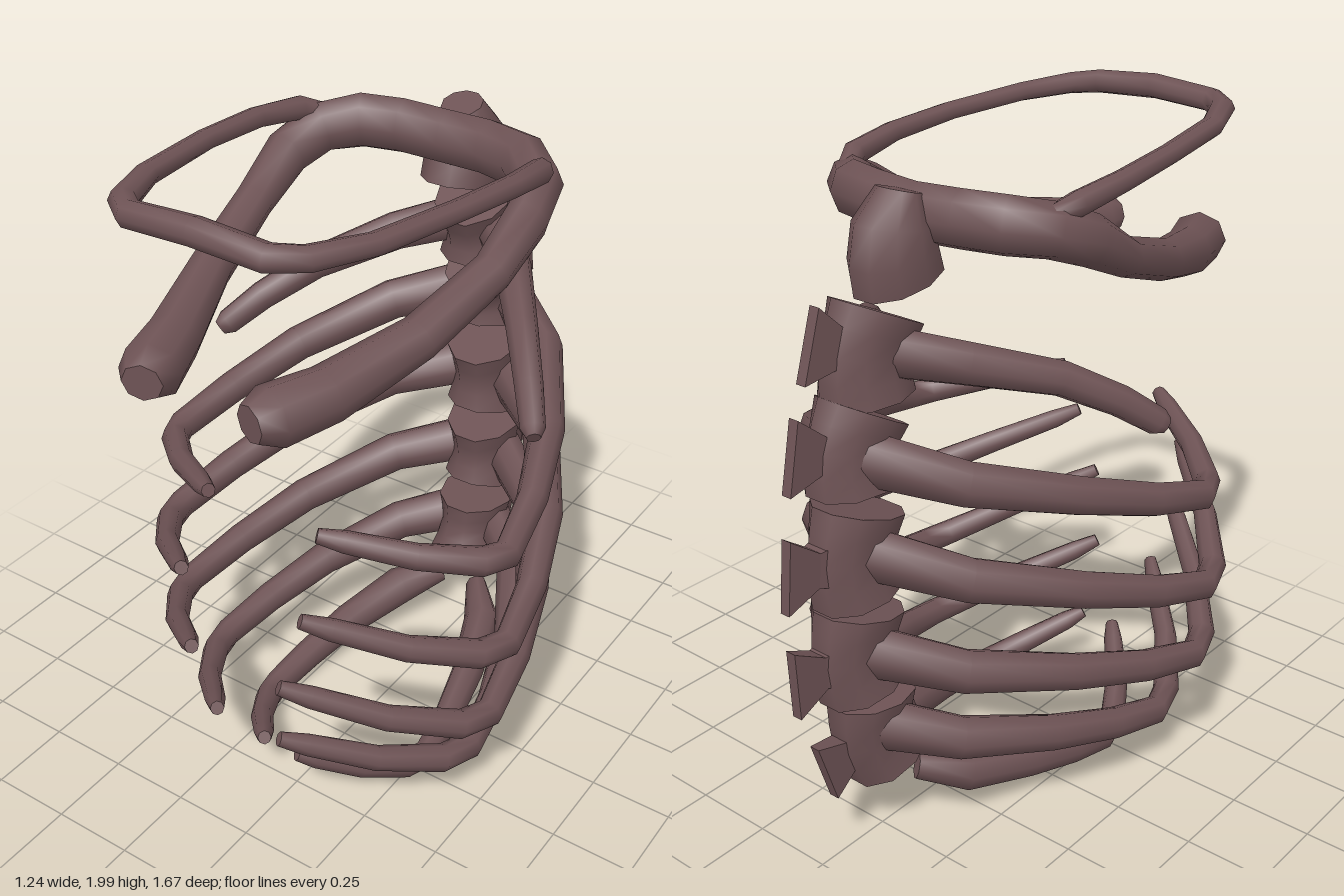
import * as THREE from 'three';

const material = new THREE.MeshStandardMaterial({ color: 0x6e5355 });

// Capped loft: each section is [x, y, z, half width, half height], square to the path.
function loft(sections, { sides = 8, ref = new THREE.Vector3(0, 1, 0), phase = 0, flat = false } = {}) {
  const pts = sections.map((s) => new THREE.Vector3(s[0], s[1], s[2]));
  const pos = [], idx = [];
  const rings = sections.map((s, i) => {
    const t = pts[Math.min(i + 1, pts.length - 1)].clone().sub(pts[Math.max(i - 1, 0)]).normalize();
    const side = t.clone().cross(ref).normalize();
    const up = side.clone().cross(t);
    return Array.from({ length: sides }, (_, j) => {
      const a = phase + (j / sides) * Math.PI * 2;
      return pts[i].clone().addScaledVector(side, Math.cos(a) * s[3]).addScaledVector(up, Math.sin(a) * s[4]);
    });
  });
  rings.forEach((r) => r.forEach((p) => pos.push(p.x, p.y, p.z)));
  for (let i = 0; i < rings.length - 1; i++) {
    for (let j = 0; j < sides; j++) {
      const k = (j + 1) % sides;
      const a = i * sides + j, b = a + sides, c = i * sides + k, d = c + sides;
      idx.push(a, b, c, c, b, d);
    }
  }
  // Caps have their own vertices so the rims stay sharp
  [0, rings.length - 1].forEach((e, n) => {
    const base = pos.length / 3;
    [pts[e], ...rings[e]].forEach((p) => pos.push(p.x, p.y, p.z));
    for (let j = 0; j < sides; j++) {
      const a = base + 1 + j, b = base + 1 + ((j + 1) % sides);
      idx.push(base, ...(n ? [b, a] : [a, b]));
    }
  });
  let geo = new THREE.BufferGeometry();
  geo.setAttribute('position', new THREE.Float32BufferAttribute(pos, 3));
  geo.setIndex(idx);
  if (flat) geo = geo.toNonIndexed();
  geo.computeVertexNormals();
  return geo;
}

const mirror = (sections) => sections.map(([x, ...rest]) => [-x, ...rest]);
const { lerp } = THREE.MathUtils;

// Rib curve: shares of the way in x, y, z, then half width and half height
const ribBack = [
  [0.43, 0.24, 0.18, 0.058, 0.066], [0.76, 0.55, 0.5, 0.05, 0.056],
  [0.925, 0.82, 0.77, 0.044, 0.05], [1, 1, 1, 0.04, 0.045],
];
const ribFront = [
  [0.09, 0.06, 0.22, 0.04, 0.043], [0.43, 0.4, 0.58, 0.035, 0.038],
  [0.84, 0.82, 0.88, 0.03, 0.032], [1, 1, 1, 0.02, 0.021],
];

// A rib sweeps from its root out to the bend, then in and up to the tip
function ribSections({ root, bend, tip, thick }) {
  const between = (a, b) => ([fx, fy, fz, w, h]) =>
    [lerp(a[0], b[0], fx), lerp(a[1], b[1], fy), lerp(a[2], b[2], fz), w, h];
  return [[...root, thick * 0.8, thick], ...ribBack.map(between(root, bend)), ...ribFront.map(between(bend, tip))];
}

export function createModel() {
  const model = new THREE.Group();
  model.name = 'ribCage';
  const add = (name, sections, options) => {
    const mesh = new THREE.Mesh(loft(sections, options), material);
    mesh.name = name;
    model.add(mesh);
  };
  const addPair = (name, sections) => {
    add(`${name}Left`, sections);
    add(`${name}Right`, mirror(sections));
  };
  const forward = new THREE.Vector3(0, 0, 1);

  // Vertebrae: top [z, y], bottom [z, y], spine plate upper and lower rear corners [z, y]
  const vertebrae = [
    [[-0.455, 1.6], [-0.5, 1.39], [-0.67, 1.67], [-0.73, 1.48]],
    [[-0.52, 1.345], [-0.565, 1.16], [-0.76, 1.4], [-0.8, 1.2]],
    [[-0.55, 1.075], [-0.565, 0.835], [-0.81, 1.08], [-0.83, 0.87]],
    [[-0.565, 0.775], [-0.56, 0.545], [-0.82, 0.75], [-0.81, 0.54]],
    [[-0.53, 0.49], [-0.475, 0.265], [-0.755, 0.41], [-0.69, 0.21]],
  ];
  vertebrae.forEach(([top, bottom, hi, lo], i) => {
    // Waisted drum
    const at = (f) => {
      const waist = Math.sin(f * Math.PI);
      return [0, lerp(bottom[1], top[1], f), lerp(bottom[0], top[0], f) - 0.02 * waist, 0.12 - 0.02 * waist, 0.142];
    };
    add(`vertebra${i + 2}`, [0, 0.25, 0.5, 0.75, 1].map(at), { sides: 10, ref: forward });

    // Flared plate at the back of the vertebra
    const z = (hi[0] + lo[0]) / 2, y = (hi[1] + lo[1]) / 2;
    const h = Math.hypot(hi[0] - lo[0], hi[1] - lo[1]);
    const dz = (lo[1] - hi[1]) / h, dy = (hi[0] - lo[0]) / h;
    const along = (d, w, half) => [0, y - dy * d, z - dz * d, w * Math.SQRT2, half * Math.SQRT2];
    add(`spinePlate${i + 2}`, [along(0.2, 0.06, 0.075), along(0.095, 0.03, 0.05), along(0, 0.016, h / 2)],
      { sides: 4, phase: Math.PI / 4, flat: true });
  });

  // Top vertebra, leaning forward into the collar
  add('vertebra1', [
    [0, 1.665, -0.37, 0.11, 0.14], [0, 1.73, -0.385, 0.11, 0.135],
    [0, 1.81, -0.385, 0.1, 0.115], [0, 1.895, -0.36, 0.06, 0.06],
  ], { sides: 10, ref: forward });

  // Short top rib, which ends without a bend
  addPair('rib1', [
    [0.06, 1.5, -0.46, 0.06, 0.07], [0.2, 1.465, -0.33, 0.055, 0.06], [0.35, 1.4, -0.13, 0.045, 0.05],
    [0.45, 1.32, 0, 0.04, 0.045], [0.515, 1.25, 0.085, 0.035, 0.04], [0.53, 1.235, 0.105, 0.02, 0.025],
  ]);

  // Long ribs
  [
    { root: [0.05, 1.24, -0.57], bend: [0.56, 0.97, 0.27], tip: [0.18, 1.075, 0.6], thick: 0.08 },
    { root: [0.05, 0.96, -0.57], bend: [0.58, 0.68, 0.28], tip: [0.2, 0.875, 0.71], thick: 0.08 },
    { root: [0.05, 0.66, -0.58], bend: [0.545, 0.42, 0.3], tip: [0.15, 0.65, 0.75], thick: 0.08 },
    { root: [0.05, 0.4, -0.54], bend: [0.455, 0.205, 0.25], tip: [0.11, 0.41, 0.71], thick: 0.08 },
    { root: [0.07, 0.195, -0.42], bend: [0.285, 0.05, 0.22], tip: [0.06, 0.21, 0.57], thick: 0.042 },
  ].forEach((rib, i) => addPair(`rib${i + 2}`, ribSections(rib)));

  // A band that crosses the middle and is the same on both sides
  const addBand = (name, middle, half) => add(name, [...mirror(half).reverse(), middle, ...half]);

  // Heavy collar wrapping round the top vertebra, with two arms reaching forward
  addBand('collar', [0, 1.82, -0.29, 0.065, 0.08], [
    [0.14, 1.825, -0.28, 0.065, 0.08], [0.26, 1.825, -0.25, 0.07, 0.08], [0.35, 1.81, -0.17, 0.07, 0.075],
    [0.385, 1.765, -0.06, 0.06, 0.07], [0.38, 1.68, 0.1, 0.055, 0.055], [0.33, 1.595, 0.36, 0.06, 0.06],
    [0.24, 1.535, 0.62, 0.075, 0.075], [0.185, 1.53, 0.77, 0.085, 0.08], [0.165, 1.53, 0.825, 0.055, 0.05],
  ]);

  // Slim hoop in front of the collar
  addBand('hoop', [0, 1.962, 0.78, 0.04, 0.037], [
    [0.2, 1.95, 0.775, 0.04, 0.035], [0.27, 1.945, 0.72, 0.038, 0.032], [0.34, 1.935, 0.56, 0.034, 0.028],
    [0.385, 1.92, 0.28, 0.032, 0.027], [0.4, 1.9, 0.05, 0.032, 0.03], [0.385, 1.875, -0.12, 0.035, 0.035],
    [0.35, 1.845, -0.19, 0.03, 0.03],
  ]);

  return model;
}
